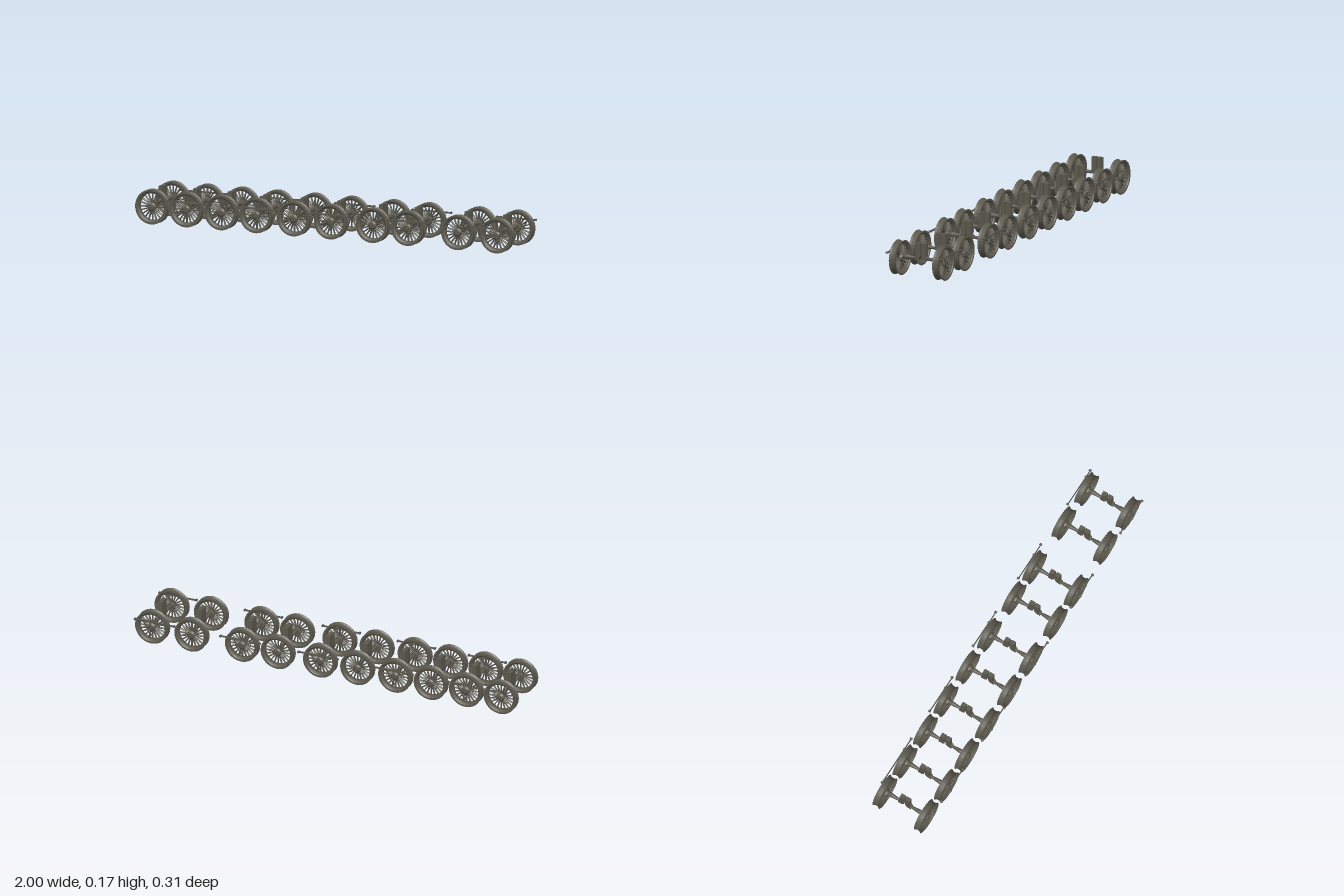
import * as THREE from 'three';
import { mergeGeometries } from 'three/addons/utils/BufferGeometryUtils.js';

const R = 0.085; // wheel radius, also the height of its centre
const AXLES = [-0.915, -0.733, -0.548, -0.362, -0.163, 0.032, 0.254, 0.441, 0.706, 0.912];
const SPOKES = 20;

const metal = new THREE.MeshStandardMaterial({ color: 0x5c594e, flatShading: true });

function mesh(name, geometry, x = 0, y = 0, z = 0) {
  const m = new THREE.Mesh(geometry, metal);
  m.name = name;
  m.position.set(x, y, z);
  return m;
}

// Closed ring around the z axis from [radius, z] points, outer side first
function ring(points, segments) {
  const pts = points.map(([r, z]) => new THREE.Vector2(r, z));
  pts.push(pts[0].clone());
  return new THREE.LatheGeometry(pts, segments).rotateX(Math.PI / 2);
}

// Rim with a flared lip on either side of a flat tread
function rimGeometry() {
  return ring([
    [R, -0.0175], [0.0785, -0.009], [0.0785, 0.009], [R, 0.0175],
    [0.076, 0.0175], [0.072, 0.012], [0.066, 0.009],
    [0.066, -0.009], [0.072, -0.012], [0.076, -0.0175],
  ], 32);
}

// Spokes narrowing towards the rim
function spokesGeometry() {
  const parts = [];
  for (let i = 0; i < SPOKES; i++) {
    const g = new THREE.CylinderGeometry(0.0032, 0.0042, 0.053, 6);
    g.scale(1, 1, 1.7);
    g.translate(0, 0.0415, 0);
    g.rotateZ((i / SPOKES) * Math.PI * 2);
    parts.push(g);
  }
  return mergeGeometries(parts);
}

function hubGeometry() {
  const pts = [[0, -0.0175], [0.018, -0.0175], [0.021, -0.01], [0.021, 0.01],
    [0.014, 0.0165], [0, 0.0175]].map(([r, z]) => new THREE.Vector2(r, z));
  return new THREE.LatheGeometry(pts, 16).rotateX(Math.PI / 2);
}

// Half axle swelling towards the wheel
function axleGeometry() {
  const pts = [[0.006, 0.012], [0.0065, 0.035], [0.0115, 0.08], [0.009, 0.102]]
    .map(([r, z]) => new THREE.Vector2(r, z));
  return new THREE.LatheGeometry(pts, 12).rotateX(Math.PI / 2);
}

// Upright arm with a bent foot, drawn in z and y, extruded along x
function armGeometry() {
  const shape = new THREE.Shape([
    [0.003, 0.17], [0.003, 0.105], [0.014, 0.087], [0.036, 0.086],
    [0.036, 0.1], [0.03, 0.102], [0.027, 0.108], [0.027, 0.17],
  ].map(([z, y]) => new THREE.Vector2(z, y)));
  return new THREE.ExtrudeGeometry(shape, { depth: 0.022, bevelEnabled: false })
    .translate(0, 0, -0.011).rotateY(-Math.PI / 2);
}

const rim = rimGeometry(), spokes = spokesGeometry(), hub = hubGeometry();
const axle = axleGeometry(), arm = armGeometry();
const pin = new THREE.CylinderGeometry(0.0055, 0.0055, 0.012, 10).rotateX(Math.PI / 2);

function wheel() {
  const g = new THREE.Group();
  g.name = 'spokedWheel';
  g.add(mesh('rim', rim), mesh('spokes', spokes), mesh('hub', hub));
  return g;
}

// One wheel, half axle and centre arm
function halfSet() {
  const g = new THREE.Group();
  g.name = 'halfWheelSet';
  const w = wheel();
  w.position.set(0, R, 0.1175);
  g.add(w, mesh('halfAxle', axle, 0, 0.093, 0), mesh('centreArm', arm));
  return g;
}

// Flat bar between two points in a plane of constant z
function bar(name, x1, y1, x2, y2, z, thick) {
  const m = mesh(name, new THREE.BoxGeometry(Math.hypot(x2 - x1, y2 - y1), thick, 0.004),
    (x1 + x2) / 2, (y1 + y2) / 2, z);
  m.rotation.z = Math.atan2(y2 - y1, x2 - x1);
  return m;
}

// Horizontal side rod with a link down to the crank pin
function sideRods(x, side, reach) {
  const g = new THREE.Group();
  g.name = side > 0 ? 'frontSideRods' : 'backSideRods';
  const end = Math.min(x + 0.104, 0.992);
  const start = end - reach;
  g.add(
    bar('sideRod', start, 0.123, end, 0.123, side * 0.146, 0.008),
    bar('crankLink', x, 0.048, x + 0.04, 0.123, side * 0.142, 0.007),
    mesh('crankPin', pin, x, 0.048, side * 0.139),
    mesh('linkPin', pin, x + 0.04, 0.123, side * 0.146),
    mesh('rodEndPin', pin, start + 0.005, 0.123, side * 0.147),
    mesh('rodEndPin', pin, end - 0.001, 0.123, side * 0.147),
  );
  return g;
}

export function createModel() {
  const model = new THREE.Group();
  model.name = 'wheelSets';
  AXLES.forEach((x, i) => {
    const set = new THREE.Group();
    set.name = 'wheelSet';
    set.position.x = x;
    const front = halfSet();
    const back = halfSet();
    back.rotation.y = Math.PI;
    set.add(front, back);
    model.add(set);
    // Every second axle carries the rods
    if (i % 2 === 1) {
      model.add(sideRods(x, 1, 0.2), sideRods(x, -1, i === 1 ? 0.27 : 0.21));
    }
  });
  return model;
}
